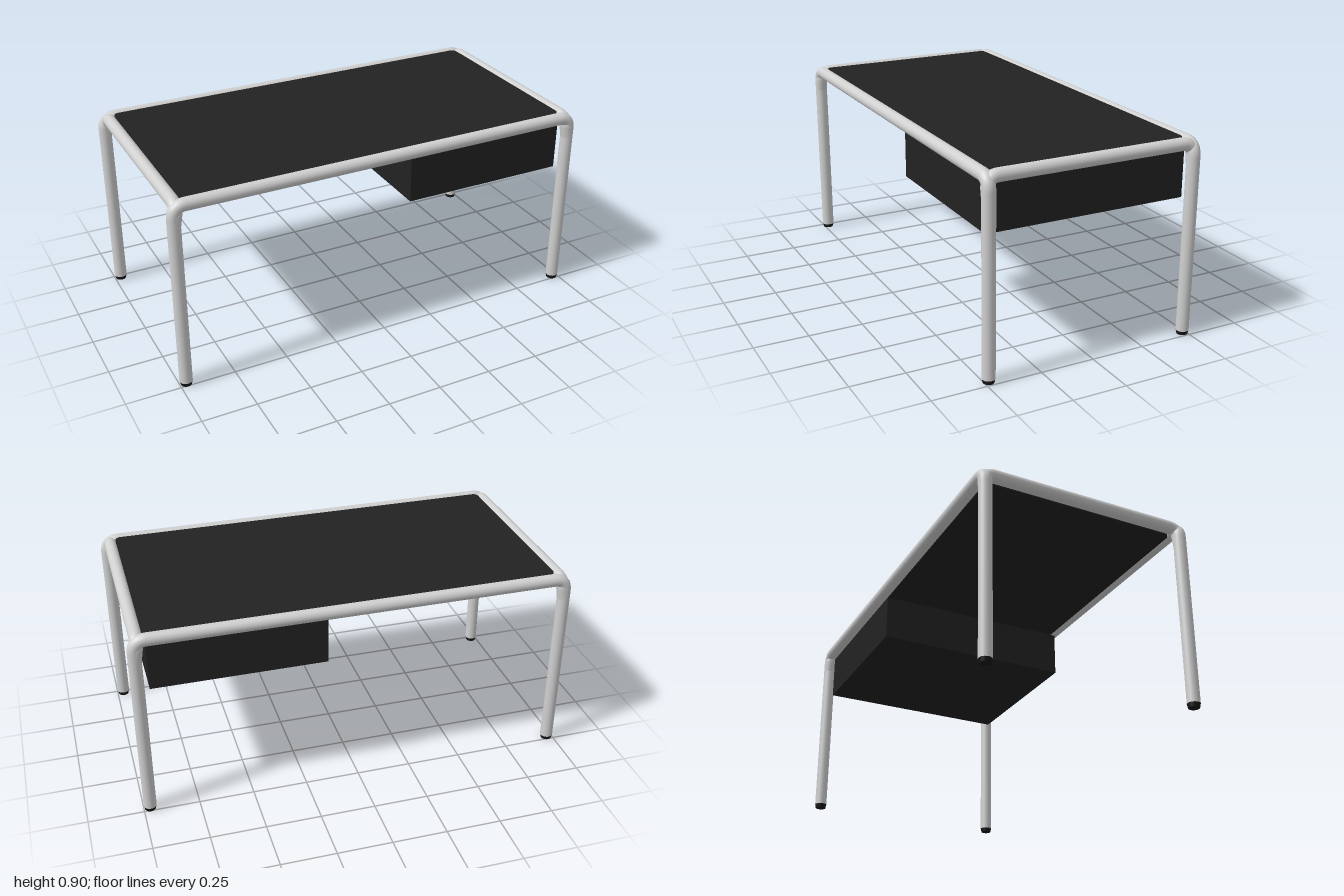
import * as THREE from 'three';

const R = 0.029;      // tube radius
const LEG_X = 0.971;  // leg centre lines
const LEG_Z = 0.481;
const RAIL_Y = 0.876;

// Tube along corner points, each inner corner rounded by a fillet
function bentTube(points, fillet) {
  const p = points.map((a) => new THREE.Vector3(...a));
  const path = new THREE.CurvePath();
  let from = p[0];
  for (let i = 1; i < p.length - 1; i++) {
    const a = p[i].clone().add(p[i - 1].clone().sub(p[i]).setLength(fillet));
    const b = p[i].clone().add(p[i + 1].clone().sub(p[i]).setLength(fillet));
    path.add(new THREE.LineCurve3(from, a));
    path.add(new THREE.QuadraticBezierCurve3(a, p[i], b));
    from = b;
  }
  path.add(new THREE.LineCurve3(from, p[p.length - 1]));
  return new THREE.TubeGeometry(path, 320, R, 24, false);
}

function roundedRect(w, d, r) {
  const s = new THREE.Shape();
  const x = w / 2, y = d / 2;
  s.absarc(x - r, y - r, r, 0, Math.PI / 2);
  s.absarc(-x + r, y - r, r, Math.PI / 2, Math.PI);
  s.absarc(-x + r, -y + r, r, Math.PI, Math.PI * 1.5);
  s.absarc(x - r, -y + r, r, Math.PI * 1.5, Math.PI * 2);
  s.closePath();
  return s;
}

export function createModel() {
  const group = new THREE.Group();
  const steel = new THREE.MeshStandardMaterial({ color: 0xd0d0d0 });
  steel.name = 'light grey steel';
  const black = new THREE.MeshStandardMaterial({ color: 0x222222 });
  black.name = 'black board';
  const rubber = new THREE.MeshStandardMaterial({ color: 0x161616 });
  rubber.name = 'black rubber';

  const add = (name, geometry, material, x = 0, y = 0, z = 0) => {
    const mesh = new THREE.Mesh(geometry, material);
    mesh.name = name;
    mesh.position.set(x, y, z);
    group.add(mesh);
    return mesh;
  };

  // Front and back frames: two legs and the long rail bent from one tube
  for (const s of [1, -1]) {
    add(s > 0 ? 'frontFrame' : 'backFrame', bentTube([
      [-LEG_X, 0.018, s * LEG_Z], [-LEG_X, RAIL_Y, s * LEG_Z],
      [LEG_X, RAIL_Y, s * LEG_Z], [LEG_X, 0.018, s * LEG_Z],
    ], 0.055), steel);
  }

  // Side rails, curving down into the legs at both ends
  for (const s of [1, -1]) {
    add(s > 0 ? 'leftRail' : 'rightRail', bentTube([
      [s * LEG_X, 0.78, -LEG_Z], [s * 0.955, RAIL_Y, -LEG_Z],
      [s * 0.955, RAIL_Y, LEG_Z], [s * LEG_X, 0.78, LEG_Z],
    ], 0.05), steel);
  }

  // Foot caps
  const foot = new THREE.CylinderGeometry(R, R * 0.85, 0.02, 24);
  for (const x of [LEG_X, -LEG_X]) {
    for (const z of [LEG_Z, -LEG_Z]) add('foot', foot, rubber, x, 0.01, z);
  }

  // Table top, set inside the frame
  const top = new THREE.ExtrudeGeometry(roundedRect(1.86, 0.918, 0.025),
    { depth: 0.046, bevelEnabled: false, curveSegments: 8 });
  top.rotateX(-Math.PI / 2);
  add('tableTop', top, black, 0, 0.852, 0);

  // Drawer box under the left half
  add('drawerBox', new THREE.BoxGeometry(0.785, 0.215, 0.94), black, 0.5275, 0.7325, 0);

  return group;
}
